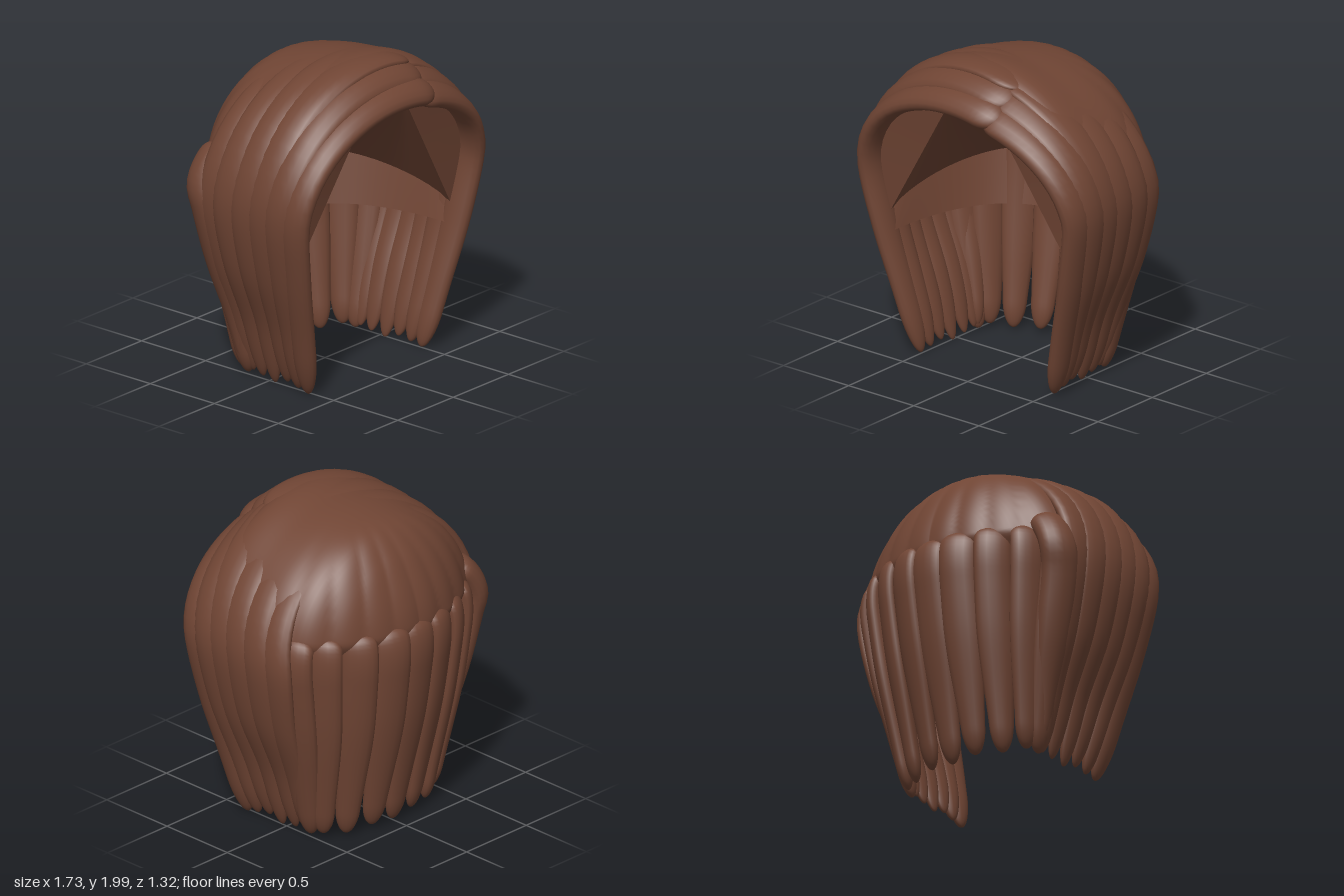
import * as THREE from 'three';
import { mergeVertices } from 'three/addons/utils/BufferGeometryUtils.js';

const V = (x, y, z) => new THREE.Vector3(x, y, z);
const { lerp, smoothstep } = THREE.MathUtils;

// Surface from a rule fn(u, v) -> Vector3, with u and v from 0 to 1
function surface(fn, nu, nv) {
  const pos = [], idx = [];
  for (let j = 0; j <= nv; j++) {
    for (let i = 0; i <= nu; i++) pos.push(...fn(i / nu, j / nv).toArray());
  }
  for (let j = 0; j < nv; j++) {
    for (let i = 0; i < nu; i++) {
      const a = j * (nu + 1) + i, b = a + nu + 1;
      idx.push(a, a + 1, b, a + 1, b + 1, b);
    }
  }
  let geo = new THREE.BufferGeometry();
  geo.setAttribute('position', new THREE.Float32BufferAttribute(pos, 3));
  geo.setIndex(idx);
  geo = mergeVertices(geo, 1e-5);
  geo.computeVertexNormals();
  return geo;
}

// Flattened lock of hair swept along a path; the width direction turns from w0 to w1.
// rootThick thins the lock where it leaves the scalp.
function strandGeometry(points, w0, w1, width, thick, taper, rootThick) {
  const curve = new THREE.CatmullRomCurve3(points, false, 'centripetal');
  return surface((u, step) => {
    const v = (1 - Math.cos(step * Math.PI)) / 2; // closer rings near both ends
    const c = curve.getPointAt(v), t = curve.getTangentAt(v);
    const w = w0.clone().lerp(w1, Math.min(1, v * 1.8));
    w.addScaledVector(t, -w.dot(t)).normalize();
    const n = t.clone().cross(w);
    const r = Math.max(0, 1 - v / 0.06), k = Math.max(0, (v - 0.89) / 0.11);
    const s = Math.sqrt(Math.max(0, 1 - r * r)) * Math.sqrt(Math.max(0, 1 - k * k));
    const slim = 1 - taper * smoothstep(v, 0.4, 1.05);
    const flat = lerp(rootThick, 1, smoothstep(v, 0.05, 0.4)) * (0.4 + 0.6 * slim);
    const a = u * Math.PI * 2;
    return c.addScaledVector(w, Math.cos(a) * width * s * slim)
      .addScaledVector(n, Math.sin(a) * thick * s * flat);
  }, 16, 48);
}

export function createModel() {
  const group = new THREE.Group();
  const hair = new THREE.MeshStandardMaterial({ color: 0x704534, side: THREE.DoubleSide });
  hair.name = 'brownHair';
  const add = (name, geo) => {
    const mesh = new THREE.Mesh(geo, hair);
    mesh.name = name;
    group.add(mesh);
  };

  // Crown: arches of (half width, height, z) lofted from front to back, faintly ribbed
  const arches = new THREE.CatmullRomCurve3([
    V(0.76, 1.82, 0.52), V(0.8, 1.99, 0.36), V(0.815, 1.975, 0.1), V(0.8, 1.95, -0.1),
    V(0.71, 1.9, -0.29), V(0.57, 1.79, -0.42), V(0.42, 1.65, -0.51), V(0.24, 1.49, -0.575),
    V(0, 1.3, -0.61)]);
  add('crown', surface((u, v) => {
    const s = arches.getPoint(v), a = u * Math.PI;
    const p = V(Math.cos(a) * s.x, 1.24 + Math.sin(a) * (s.y - 1.24), s.z);
    if (p.z < 0) {
      const rib = 1 + 0.018 * Math.min(1, -p.z * 4) * Math.abs(Math.sin(Math.atan2(p.z, p.x) * 10));
      const hem = lerp(0.92, 1, smoothstep(p.y, 1.24, 1.37)); // rim turns in under the locks
      p.x *= rib * hem;
      p.z *= rib * hem;
    }
    return p;
  }, 90, 48));

  // Side locks sweep from the parting over the crown and down
  // [start z, z at ear, tip z, arch half width, arch height, half width, half thickness, root]
  const sideLocks = [
    [0.57, 0.45, 0.32, 0.785, 1.805, 0.115, 0.065, 1],
    [0.46, 0.34, 0.24, 0.795, 1.895, 0.13, 0.07, 0.85],
    [0.35, 0.22, 0.15, 0.805, 1.96, 0.13, 0.06, 0.65],
    [0.22, 0.09, 0.05, 0.81, 1.96, 0.125, 0.055, 0.45],
    [0.08, -0.05, -0.05, 0.805, 1.94, 0.125, 0.055, 0.35],
    [-0.05, -0.18, -0.13, 0.785, 1.905, 0.12, 0.055, 0.25]];
  for (const side of [1, -1]) {
    sideLocks.forEach(([zs, ze, zt, w, h, hw, ht, root], i) => {
      const pts = [];
      // the left locks tuck under the ends of the right ones
      const start = Math.acos((side > 0 ? 0.17 : -0.31) / w);
      const drop = side > 0 ? 0.025 : 0;
      for (let k = 0; k <= 7; k++) {
        const f = k / 7, a = start * (1 - f);
        const z = lerp(zs, ze, f ** 1.5) - drop * (1 - f);
        pts.push(V(side * w * Math.cos(a), 1.2 + (h - drop - 1.2) * Math.sin(a), z));
      }
      const low = i * 0.006;
      pts.push(V(side * (w - 0.07), 0.8, lerp(ze, zt, 0.3)));
      pts.push(V(side * (0.61 - low), 0.4, lerp(ze, zt, 0.65)));
      pts.push(V(side * (0.51 - low), 0.01 + (i % 3) * 0.015, zt));
      const tilt = [V(0, -0.55, 0.83), V(0, -0.45, 0.9)][i] || V(0, 0, 1);
      add(side > 0 ? 'leftLock' : 'rightLock',
        strandGeometry(pts, tilt, V(0, 0, 1), hw, ht, i ? 0.5 : 0.35, root));
    });
  }

  // Back locks emerge from under the rim of the crown: [x, z at top, tip x, tip z]
  const backLocks = [[0, -0.59, 0, -0.37], [0.2, -0.57, 0.165, -0.36], [0.4, -0.49, 0.33, -0.31],
    [0.58, -0.375, 0.45, -0.24], [0.71, -0.26, 0.48, -0.17]];
  for (const side of [1, -1]) {
    backLocks.forEach(([x, z, tx, tz], i) => {
      if (i === 0 && side < 0) return;
      const at = (f, y) => V(side * lerp(x, tx, f), y, lerp(z, tz, f));
      const pts = [at(0.2, 1.4), at(0.03, 1.3), at(0, 1.2), at(0.08, 1.05), at(0.28, 0.78),
        at(0.64, 0.4), at(1, 0.02 + (i % 2) * 0.015)];
      const across = V(0.42 * -z, 0, 0.56 * x * side).normalize();
      add('backLock', strandGeometry(pts, across, across, 0.118, 0.06, 0.45, 1));
    });
  }

  // Fuller lock behind the right ear
  add('rightRearLock', strandGeometry(
    [V(-0.6, 1.47, -0.27), V(-0.7, 1.36, -0.3), V(-0.75, 1.24, -0.31), V(-0.74, 1.1, -0.28),
      V(-0.66, 0.75, -0.24), V(-0.56, 0.4, -0.2), V(-0.48, 0.04, -0.16)],
    V(0.5, 0, -0.85), V(0.4, 0, -0.9), 0.115, 0.08, 0.6, 1));

  // Inner lining: a back wall, then a ceiling narrowing to the fringe
  const bow = (u, w, d, y) => {
    const c = Math.cos(u * Math.PI), s = Math.max(0, Math.sin(u * Math.PI));
    return V(Math.sign(c) * w * Math.abs(c) ** 0.7, y(s), 0.4 - d * s ** 0.9);
  };
  const rim = (u) => bow(u, 0.69, 0.92, (s) => 0.88 + 0.25 * s ** 0.6);
  add('liningWall', surface((u, v) =>
    bow(u, 0.65, 0.86, () => 0.775).lerp(rim(u), v), 40, 2));
  add('liningCeiling', surface((u, v) =>
    rim(u).lerp(V(0.16 * Math.cos(u * Math.PI), 1.74, 0.48), v), 40, 6));

  // Lining flaps behind the front locks
  for (const side of [1, -1]) {
    const edge = new THREE.CatmullRomCurve3([V(side * 0.69, 0.88, 0.4), V(side * 0.74, 1.2, 0.44),
      V(side * 0.65, 1.5, 0.48), V(side * 0.42, 1.68, 0.5), V(side * 0.16, 1.75, 0.49)]);
    const a = V(side * 0.69, 0.88, 0.4), b = V(side * 0.16, 1.74, 0.48);
    add('liningFlap', surface((u, v) => a.clone().lerp(b, u).lerp(edge.getPoint(u), v), 12, 1));
  }

  // Stand on the ground, centred
  const box = new THREE.Box3().setFromObject(group), mid = box.getCenter(V(0, 0, 0));
  group.children.forEach((m) => m.position.set(-mid.x, -box.min.y, -mid.z));
  return group;
}
